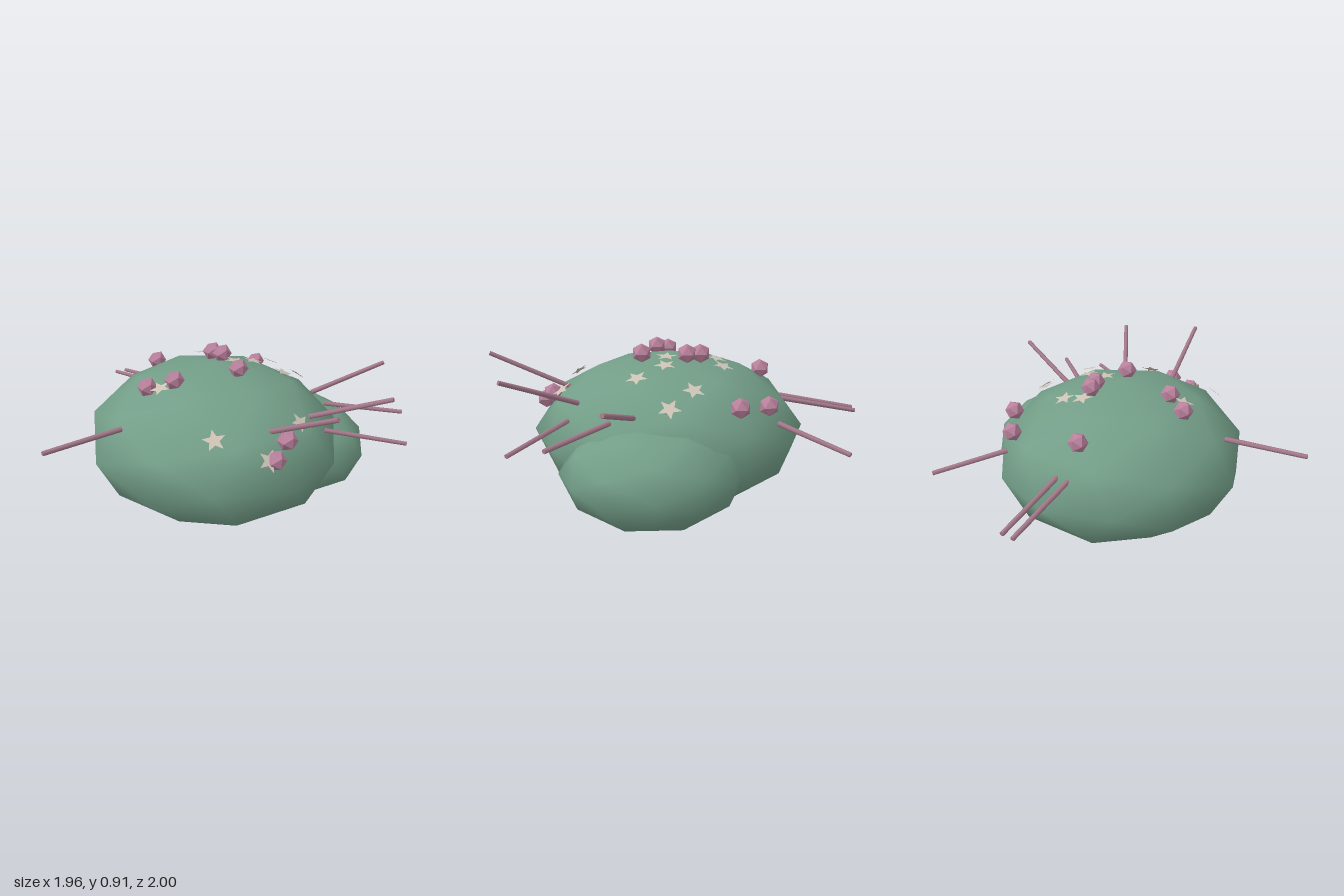
import * as THREE from 'three';

const mat = (name, color, side = THREE.FrontSide) => {
  const m = new THREE.MeshStandardMaterial({ color, side });
  m.name = name;
  return m;
};

export function createModel() {
  const root = new THREE.Group();
  root.name = 'spinyBlob';
  const green = mat('sage green', 0x739e88);
  const pink = mat('bud pink', 0xb9819c);
  const mauve = mat('spine mauve', 0xa67a8c);
  const cream = mat('star cream', 0xcdc1b5, THREE.DoubleSide);

  const add = (parent, name, geo, material) => {
    const m = new THREE.Mesh(geo, material);
    m.name = name;
    parent.add(m);
    return m;
  };
  const group = (name) => {
    const g = new THREE.Group();
    g.name = name;
    root.add(g);
    return g;
  };

  // Coarse, smooth-shaded ellipsoids with slightly pointed axis ends
  const blob = (name, centre, radii) => {
    const g = new THREE.IcosahedronGeometry(1, 1).rotateY(Math.PI / 2);
    const p = g.attributes.position;
    const v = new THREE.Vector3();
    for (let i = 0; i < p.count; i++) {
      v.fromBufferAttribute(p, i);
      const onAxis = Math.max(Math.abs(v.x), Math.abs(v.y), Math.abs(v.z)) > 0.99;
      if (!onAxis) v.multiplyScalar(0.975);
      p.setXYZ(i, v.x, v.y, v.z);
    }
    g.scale(...radii);
    add(root, name, g, green).position.set(...centre);
  };
  const C = new THREE.Vector3(0.042, 0.43, 0.05);
  const R = new THREE.Vector3(0.702, 0.428, 0.738);
  blob('body', C.toArray(), R.toArray());
  blob('sideLobe', [0.5, 0.343, 0.148], [0.41, 0.285, 0.47]);

  // Faceted buds
  const buds = group('buds');
  const budGeo = new THREE.IcosahedronGeometry(0.053, 0);
  [
    [-0.04, 0.735, -0.457], [0.418, 0.652, -0.437], [0.54, 0.68, -0.277],
    [0.132, 0.861, -0.112], [0.152, 0.865, -0.04], [-0.35, 0.793, 0.042],
    [-0.228, 0.83, 0.111], [0.106, 0.86, 0.197], [-0.016, 0.585, 0.724], [0.085, 0.645, 0.674],
  ].forEach((p) => add(buds, 'bud', budGeo, pink).position.set(...p));

  // Thin spines, given as base and tip
  const spines = group('spines');
  const up = new THREE.Vector3(0, 1, 0);
  [
    [[-0.058, 0.575, -0.57], [-0.07, 0.492, -1.0]],
    [[0.01, 0.575, -0.57], [-0.005, 0.492, -1.0]],
    [[0.418, 0.56, -0.487], [0.677, 0.482, -0.79]],
    [[-0.55, 0.641, 0.143], [-0.98, 0.641, 0.208]],
    [[0.57, 0.647, 0.24], [0.973, 0.788, 0.362]],
    [[0.567, 0.622, 0.355], [0.886, 0.602, 0.624]],
    [[0.336, 0.657, 0.52], [0.562, 0.827, 0.865]],
    [[0.4, 0.584, 0.57], [0.741, 0.527, 0.817]],
    [[0.045, 0.663, 0.58], [0.112, 0.87, 0.99]],
  ].forEach(([a, b]) => {
    const base = new THREE.Vector3(...a);
    const tip = new THREE.Vector3(...b);
    const dir = tip.clone().sub(base);
    const geo = new THREE.CylinderGeometry(0.012, 0.014, dir.length(), 6);
    const s = add(spines, 'spine', geo, mauve);
    s.position.copy(base).lerp(tip, 0.5);
    s.quaternion.setFromUnitVectors(up, dir.normalize());
  });

  // Flat five-pointed stars lying on the upper surface
  const outline = [];
  for (let i = 0; i < 10; i++) {
    const r = i % 2 ? 0.026 : 0.06;
    const a = (i * Math.PI) / 5 + Math.PI / 2;
    outline.push(new THREE.Vector2(r * Math.cos(a), r * Math.sin(a)));
  }
  const starGeo = new THREE.ShapeGeometry(new THREE.Shape(outline));
  const stars = group('stars');
  [
    [-0.31, 0.11], [0.127, -0.196], [0.227, -0.222], [0.487, -0.053], [0.593, 0.068], [0.164, 0.069],
    [0.28, 0.08], [0.38, 0.222], [-0.26, 0.56], [-0.055, 0.725], [0.204, 0.615],
  ].forEach(([x, z], i) => {
    const dx = (x - C.x) / R.x;
    const dz = (z - C.z) / R.z;
    const dy = Math.sqrt(Math.max(0, 1 - dx * dx - dz * dz));
    const n = new THREE.Vector3(dx / R.x, dy / R.y, dz / R.z).normalize();
    const s = add(stars, 'star', starGeo, cream);
    s.position.set(x, C.y + dy * R.y, z).addScaledVector(n, 0.004);
    s.lookAt(s.position.clone().add(n));
    s.rotateZ(i * 0.5);
  });

  return root;
}
